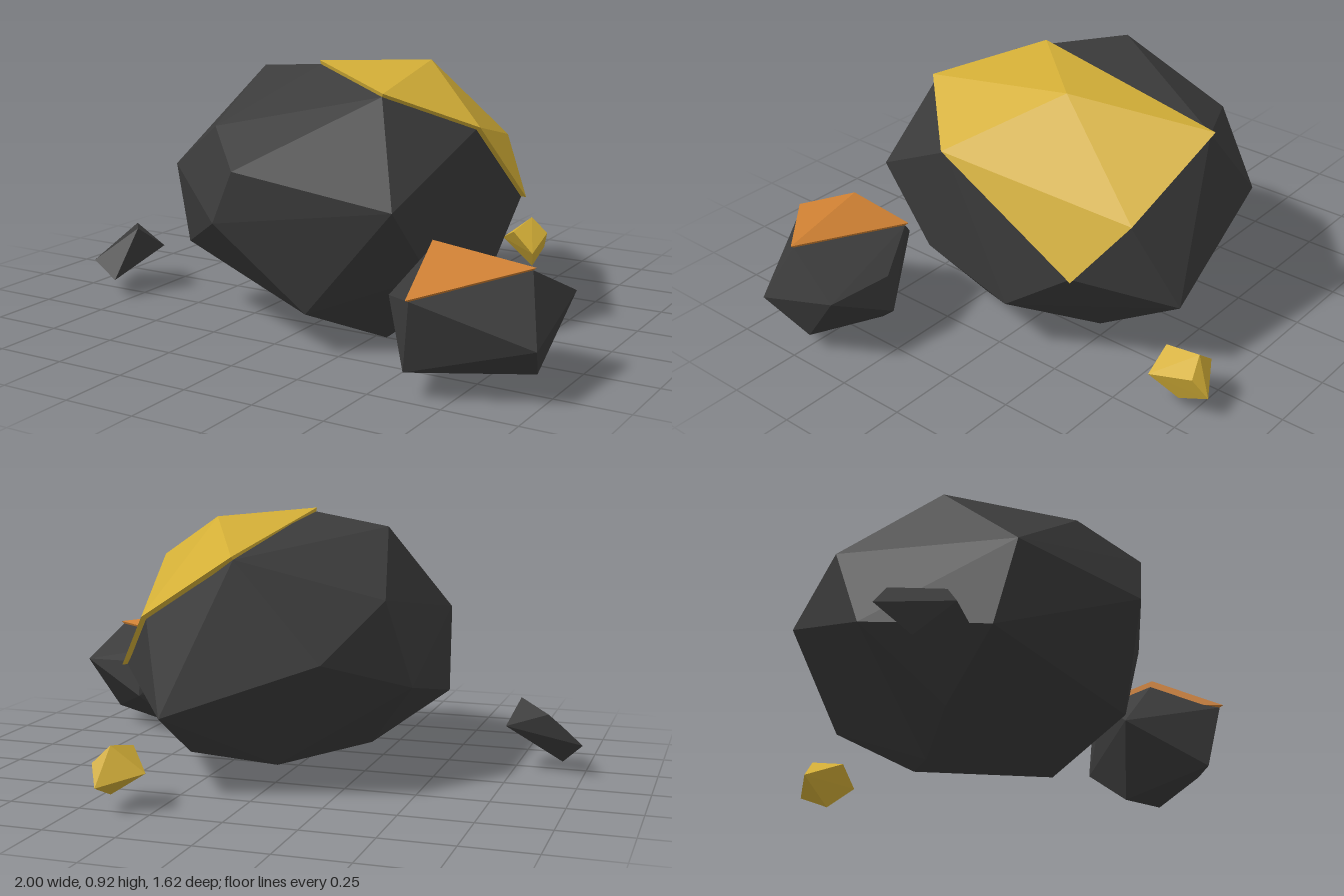
import * as THREE from 'three';
import { ConvexGeometry } from 'three/addons/geometries/ConvexGeometry.js';

const stone = new THREE.MeshStandardMaterial({ color: 0x3b3b3b, flatShading: true });
stone.name = 'darkStone';
const gold = new THREE.MeshStandardMaterial({ color: 0xd4af37, flatShading: true });
gold.name = 'gold';
const bronze = new THREE.MeshStandardMaterial({ color: 0xcd7f32, flatShading: true });
bronze.name = 'bronze';

// Faceted chunk: the hull of its corner points
function chunk(name, corners, material) {
  const points = corners.map((c) => new THREE.Vector3(...c));
  const mesh = new THREE.Mesh(new ConvexGeometry(points), material);
  mesh.name = name;
  return mesh;
}

// Corner points pulled towards a rock's centre
function shrink(corners, centre, s) {
  return corners.map((c) => c.map((v, i) => centre[i] + (v - centre[i]) * s));
}

export function createModel() {
  const model = new THREE.Group();
  model.name = 'oreRocks';

  // Large boulder with a gold cap lying just above its surface
  const boulderCentre = [0.05, 0.45, 0.05];
  const goldCorners = [
    [-0.005, 0.92, 0.195], [0.355, 0.86, 0.40], [0.58, 0.735, 0.155], [0.53, 0.40, -0.345],
    [0.39, 0.595, -0.485], [0.04, 0.815, -0.555], [0.26, 0.905, -0.115],
  ];
  const boulderCorners = [
    // upper front and left
    [-0.31, 0.87, 0.07], [-0.21, 0.725, 0.52], [-0.03, 0.62, 0.69], [-0.10, 0.445, 0.70],
    [0.47, 0.515, 0.545], [-0.47, 0.55, 0.395], [-0.485, 0.25, 0.31],
    // back
    [-0.465, 0.35, -0.175], [-0.40, 0.66, -0.295], [-0.25, 0.475, -0.53], [0.28, 0.28, -0.605],
    // underside
    [-0.26, 0.093, 0.06], [0.16, 0.145, 0.56], [0.035, 0.03, -0.13], [0.29, 0, 0.25],
    [0.49, 0.265, 0.33], [0.53, 0.20, -0.06], [0.30, 0.095, -0.29],
  ];
  model.add(chunk('boulder', [...boulderCorners, ...shrink(goldCorners, boulderCentre, 0.97)], stone));
  model.add(chunk('goldCap', [...goldCorners, ...shrink(goldCorners, boulderCentre, 0.94)], gold));

  // Medium rock with a bronze cap
  const rockCentre = [0.74, 0.22, 0.52];
  const bronzeCorners = [
    [0.617, 0.455, 0.555], [0.945, 0.405, 0.52], [0.66, 0.335, 0.81], [0.55, 0.37, 0.365],
  ];
  const rockCorners = [
    [1.0, 0.185, 0.63], [0.985, 0.285, 0.295], [0.75, 0.155, 0.255], [0.655, 0.01, 0.42],
    [0.62, 0.09, 0.745], [0.94, 0.06, 0.48], [0.43, 0.235, 0.49], [0.75, 0.29, 0.27],
  ];
  model.add(chunk('mediumRock', [...rockCorners, ...shrink(bronzeCorners, rockCentre, 0.95)], stone));
  model.add(chunk('bronzeCap', [...bronzeCorners, ...shrink(bronzeCorners, rockCentre, 0.91)], bronze));

  // Small loose pieces
  model.add(chunk('pebble', [
    [-1.0, 0.12, 0.13], [-0.88, 0.225, 0.12], [-0.725, 0.165, 0.155], [-0.76, 0.25, 0.265],
    [-0.795, 0.07, 0.365], [-0.90, 0.13, 0.35], [-0.92, 0.035, 0.22],
  ], stone));
  model.add(chunk('goldNugget', [
    [0.27, 0.13, -0.73], [0.41, 0.09, -0.815], [0.44, 0.16, -0.77], [0.45, 0.115, -0.605],
    [0.365, 0.19, -0.615], [0.38, 0.22, -0.755], [0.41, 0.04, -0.70],
  ], gold));

  return model;
}
